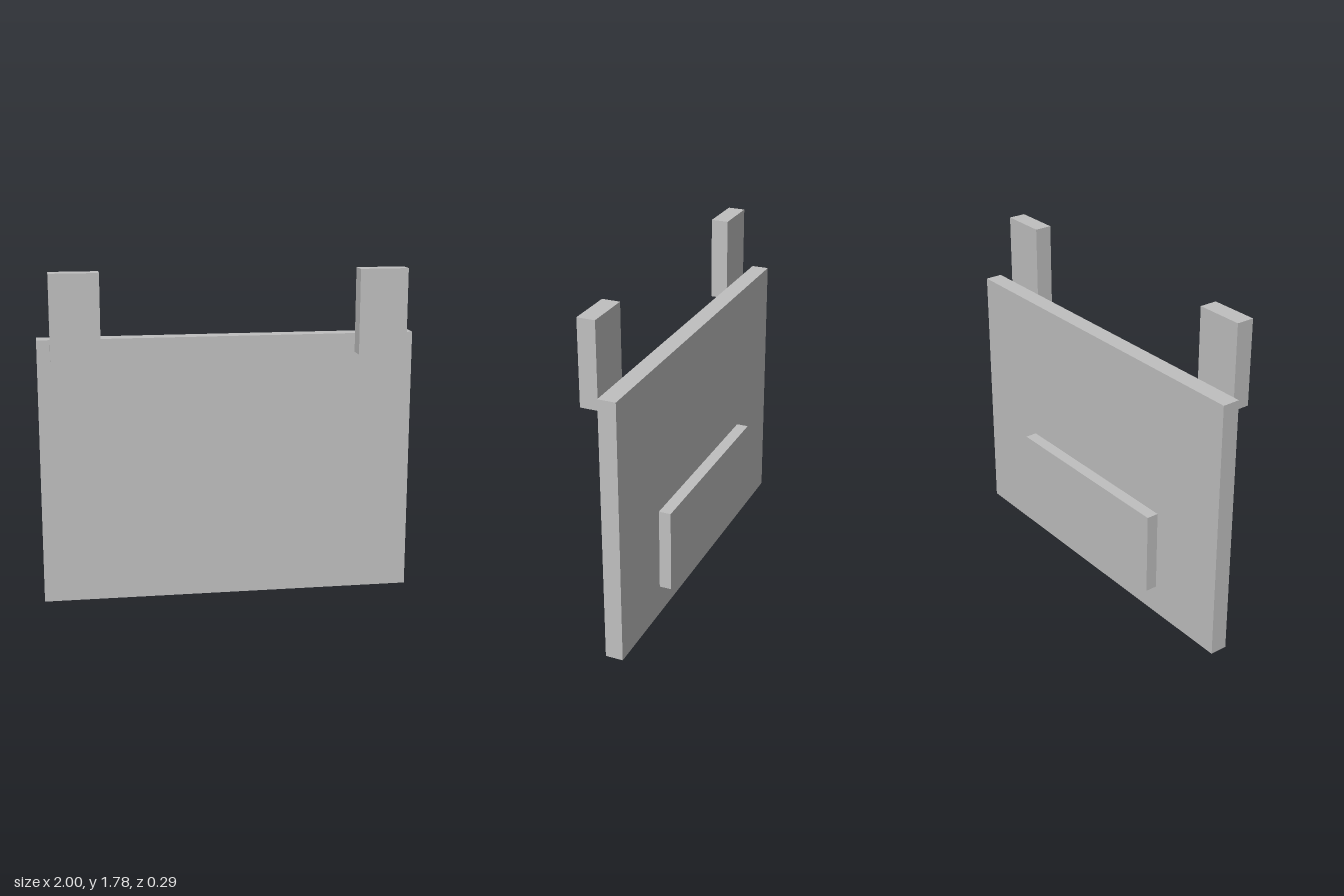
import * as THREE from 'three';

export function createModel() {
  const model = new THREE.Group();
  model.name = 'hangingPanel';

  const grey = new THREE.MeshStandardMaterial({ color: 0xc0c0c0 });
  grey.name = 'light grey';

  // Box given by its [min, max] extent on each axis
  function addBox(name, [x0, x1], [y0, y1], [z0, z1]) {
    const mesh = new THREE.Mesh(new THREE.BoxGeometry(x1 - x0, y1 - y0, z1 - z0), grey);
    mesh.position.set((x0 + x1) / 2, (y0 + y1) / 2, (z0 + z1) / 2);
    mesh.name = name;
    model.add(mesh);
  }

  // Main upright board
  addBox('mainPanel', [-1, 1], [0, 1.423], [-0.078, 0.016]);

  // Raised plate on the back
  addBox('backPlate', [-0.548, 0.548], [0.164, 0.616], [-0.143, -0.078]);

  // Tabs floating just ahead of the top corners
  addBox('leftTab', [0.676, 0.932], [1.328, 1.777], [0.049, 0.143]);
  addBox('rightTab', [-0.932, -0.676], [1.328, 1.777], [0.049, 0.143]);

  return model;
}
